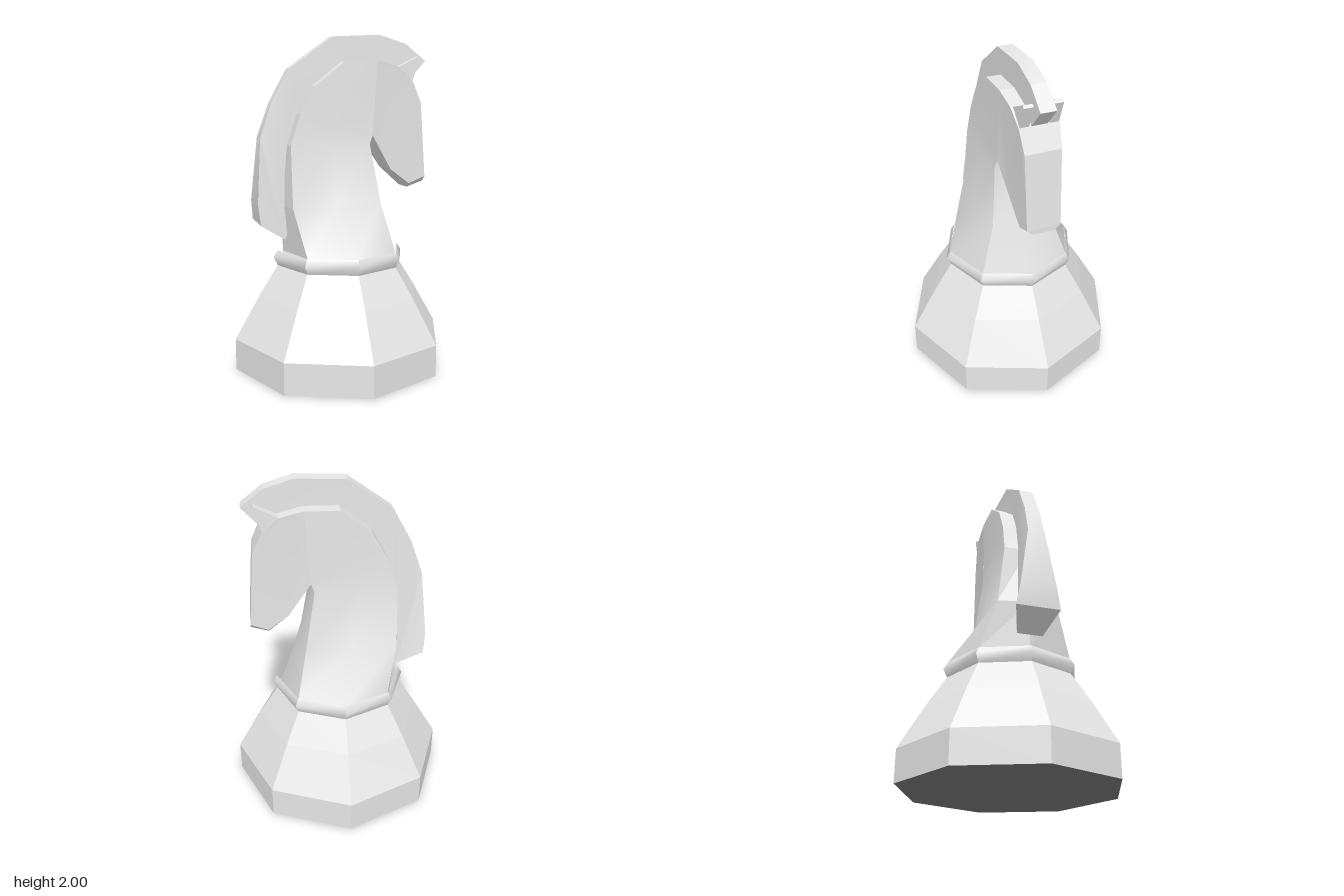
import * as THREE from 'three';
import { mergeGeometries, toCreasedNormals } from 'three/addons/utils/BufferGeometryUtils.js';

const stone = new THREE.MeshStandardMaterial({ color: 0xe7e7e7 });
stone.name = 'pale stone';
const felt = new THREE.MeshStandardMaterial({ color: 0x7c7c7c });
felt.name = 'grey felt';

// Removes shared normals so that every face is flat
function flat(geo) {
  const g = geo.index ? geo.toNonIndexed() : geo;
  g.computeVertexNormals();
  return g;
}

// Eight-sided turned part, corners on the axes
function turned(profile) {
  return flat(new THREE.LatheGeometry(profile.map(p => new THREE.Vector2(...p)), 8));
}

// Side outline made solid; each point is [x, y, half width]
function slab(points, crease = 0.35, z = 0) {
  const shape = new THREE.Shape(points.map(p => new THREE.Vector2(p[0], p[1])));
  const geo = new THREE.ExtrudeGeometry(shape, { depth: 1, bevelEnabled: false });
  const pos = geo.attributes.position;
  for (let i = 0; i < pos.count; i++) {
    const near = points.find(p => Math.hypot(p[0] - pos.getX(i), p[1] - pos.getY(i)) < 1e-4);
    pos.setZ(i, z + (pos.getZ(i) > 0.5 ? near[2] : -near[2]));
  }
  return toCreasedNormals(geo, crease);
}

// Surface through rows of points, columns running left to right from outside
function grid(rows, smooth) {
  const n = rows[0].length, index = [];
  for (let r = 0; r < rows.length - 1; r++) {
    for (let c = 0; c < n - 1; c++) {
      const a = r * n + c, d = a + n;
      index.push(a, a + 1, d + 1, a, d + 1, d);
    }
  }
  const geo = new THREE.BufferGeometry();
  geo.setAttribute('position', new THREE.Float32BufferAttribute(rows.flat(2), 3));
  geo.setIndex(index);
  if (!smooth) return flat(geo);
  geo.computeVertexNormals();
  return geo.toNonIndexed();
}

// Eight-sided ring, rounded upwards with sharp upright corners
function ringGeometry(profile) {
  const facets = [];
  for (let i = 0; i < 8; i++) {
    const ends = [i, i + 1].map(k => k * Math.PI / 4);
    facets.push(grid(profile.map(([r, y]) => ends.map(a => [r * Math.sin(a), y, r * Math.cos(a)])), true));
  }
  return mergeGeometries(facets);
}

// Neck rising from an octagon to a narrow crown
function neckGeometry() {
  // back x, back y, back ridge x, front x, front y, front ridge x, corner z, side z
  const sections = [
    [-0.27, 0.63, -0.385, 0.27, 0.63, 0.385, 0.27, 0.385],
    [-0.27, 0.72, -0.35, 0.27, 0.72, 0.345, 0.27, 0.385],
    [-0.33, 1.0, -0.37, 0.21, 1.0, 0.25, 0.18, 0.188],
    [-0.33, 1.36, -0.335, 0.15, 1.36, 0.15, 0.142, 0.145],
    [-0.27, 1.54, -0.27, 0.17, 1.41, 0.17, 0.135, 0.137],
    [-0.18, 1.7, -0.18, 0.185, 1.62, 0.185, 0.132, 0.133],
    [0, 1.84, 0, 0.2, 1.845, 0.2, 0.13, 0.13],
  ];
  const side = s => sections.map(([bx, by, , fx, fy, , cz, mz]) => {
    const row = [[bx, by, s * cz], [(bx + fx) / 2, (by + fy) / 2, s * mz], [fx, fy, s * cz]];
    return s > 0 ? row : row.reverse();
  });
  const front = sections.map(([, , , x, y, rx, z]) => [[x, y, z], [rx, y, 0], [x, y, -z]]);
  const back = sections.map(([x, y, rx, , , , z]) => [[x, y, -z], [rx, y, 0], [x, y, z]]);
  const top = [[[0, 1.84, 0.13], [0.2, 1.845, 0.13]], [[0, 1.84, -0.13], [0.2, 1.845, -0.13]]];
  return mergeGeometries([grid(side(1), true), grid(side(-1), true), grid(front, true), grid(back), grid(top)]);
}

export function createModel() {
  const model = new THREE.Group();
  model.name = 'chessKnight';
  const add = (name, geo, material = stone) => {
    const mesh = new THREE.Mesh(geo, material);
    mesh.name = name;
    model.add(mesh);
  };

  // Pedestal, its underside and the collar
  add('base', turned([[0.65, 0], [0.65, 0.19], [0.5, 0.45], [0.385, 0.63]]));
  add('underside', turned([[0, 0], [0.65, 0]]), felt);
  add('collar', ringGeometry([[0.385, 0.63], [0.41, 0.68], [0.385, 0.722]]));

  add('neck', neckGeometry());

  // Face narrowing to the muzzle
  add('face', slab([
    [0.2, 1.845, 0.13], [0.17, 1.41, 0.135], [0.3, 1.2, 0.102], [0.42, 1.11, 0.1],
    [0.525, 1.15, 0.1], [0.49, 1.6, 0.105], [0.43, 1.73, 0.115], [0.34, 1.81, 0.125],
  ]));
  add('chin', slab([
    [0.525, 1.15, 0.1], [0.42, 1.11, 0.1], [0.3, 1.2, 0.102], [0.42, 1.083, 0.065], [0.525, 1.118, 0.065],
  ], 0.1));

  // Mane, flaring at its lower end
  add('mane', slab([
    [-0.355, 0.8, 0.075], [-0.2, 1.1, 0.045], [-0.2, 1.5, 0.045], [0, 1.75, 0.045], [0.3, 1.75, 0.045],
    [0.43, 1.73, 0.045], [0.54, 1.85, 0.045], [0.41, 1.95, 0.045], [0.24, 2, 0.045], [-0.05, 1.985, 0.045],
    [-0.31, 1.8, 0.045], [-0.42, 1.6, 0.045], [-0.49, 1.4, 0.05], [-0.52, 1.02, 0.108], [-0.508, 0.9, 0.13],
  ]));

  // Ears
  const ear = [[0.34, 1.81, 0.027], [0.43, 1.73, 0.027], [0.48, 1.86, 0.027], [0.47, 1.875, 0.027]];
  add('leftEar', slab(ear, 0.1, 0.083));
  add('rightEar', slab(ear, 0.1, -0.083));

  return model;
}
